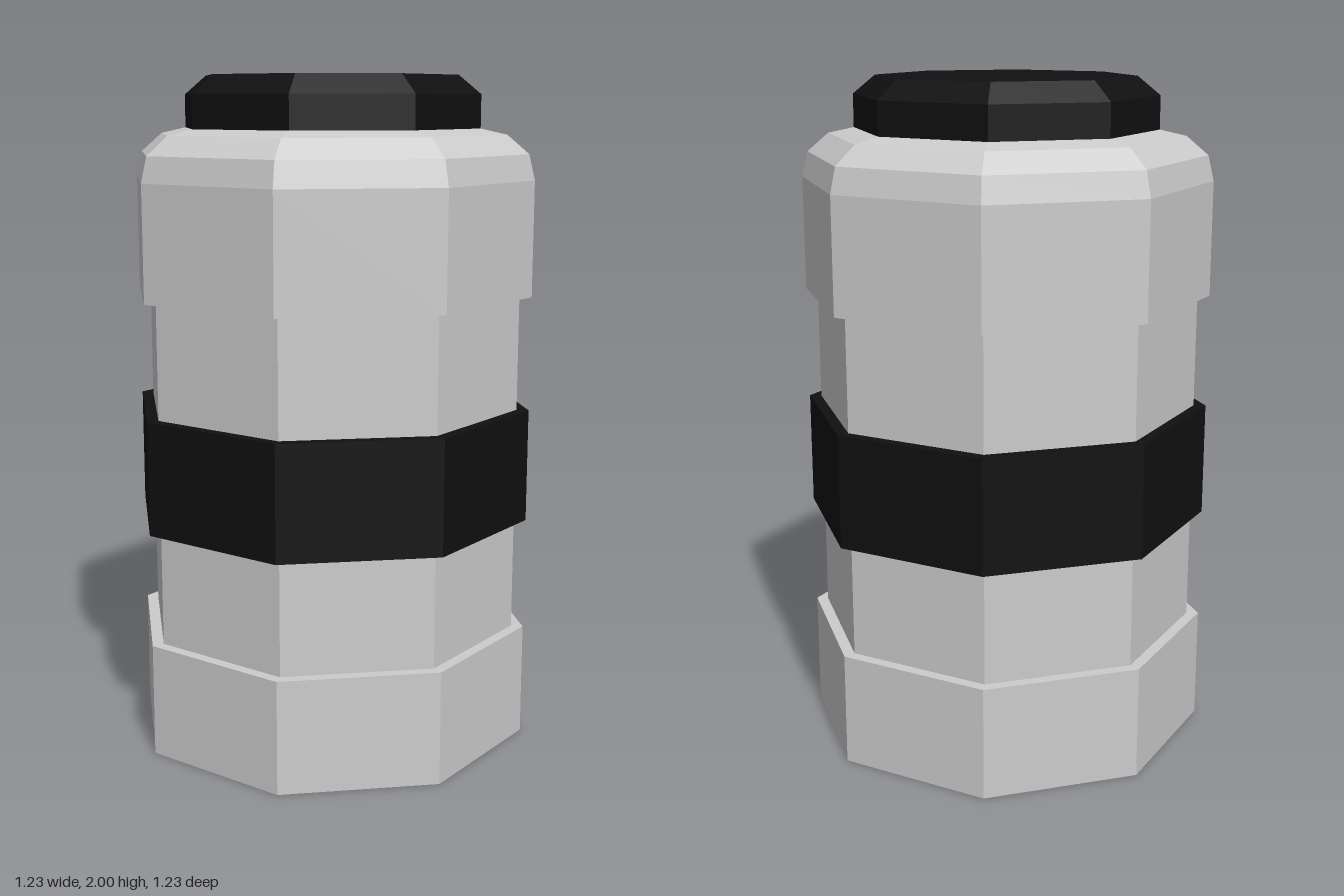
import * as THREE from 'three';

const SIDES = 8;
const grey = new THREE.MeshStandardMaterial({ color: 0xcccccc, flatShading: true });
const black = new THREE.MeshStandardMaterial({ color: 0x101010, flatShading: true });

// Eight-sided turned part from [radius, height] pairs, listed bottom to top
function turned(name, material, profile) {
  const points = profile.map(([r, y]) => new THREE.Vector2(r, y));
  const mesh = new THREE.Mesh(new THREE.LatheGeometry(points, SIDES), material);
  mesh.name = name;
  return mesh;
}

export function createModel() {
  const group = new THREE.Group();
  group.name = 'canister';

  const rim = 0.613; // radius of the collars
  const wall = 0.577; // radius of the narrower body

  group.add(
    // Recessed panel inside the base rim
    turned('basePanel', black, [[0, 0.03], [0.525, 0.03]]),
    // Base collar, with the inner lip of the recess
    turned('baseCollar', grey, [[0.525, 0.03], [0.525, 0], [rim, 0], [rim, 0.34], [wall, 0.34]]),
    // Body between the collars
    turned('body', grey, [[wall, 0.34], [wall, 1.36]]),
    // Dark band around the middle
    turned('band', black, [[wall, 0.68], [rim, 0.68], [rim, 1.02], [wall, 1.02]]),
    // Upper collar with rounded shoulder
    turned('shoulder', grey, [
      [wall, 1.36], [rim, 1.36], [rim, 1.7], [0.595, 1.775], [0.53, 1.83], [0.44, 1.85],
    ]),
    // Bevelled lid
    turned('lid', black, [[0.44, 1.845], [0.452, 1.845], [0.452, 1.945], [0.385, 2], [0, 2]]),
  );
  return group;
}
